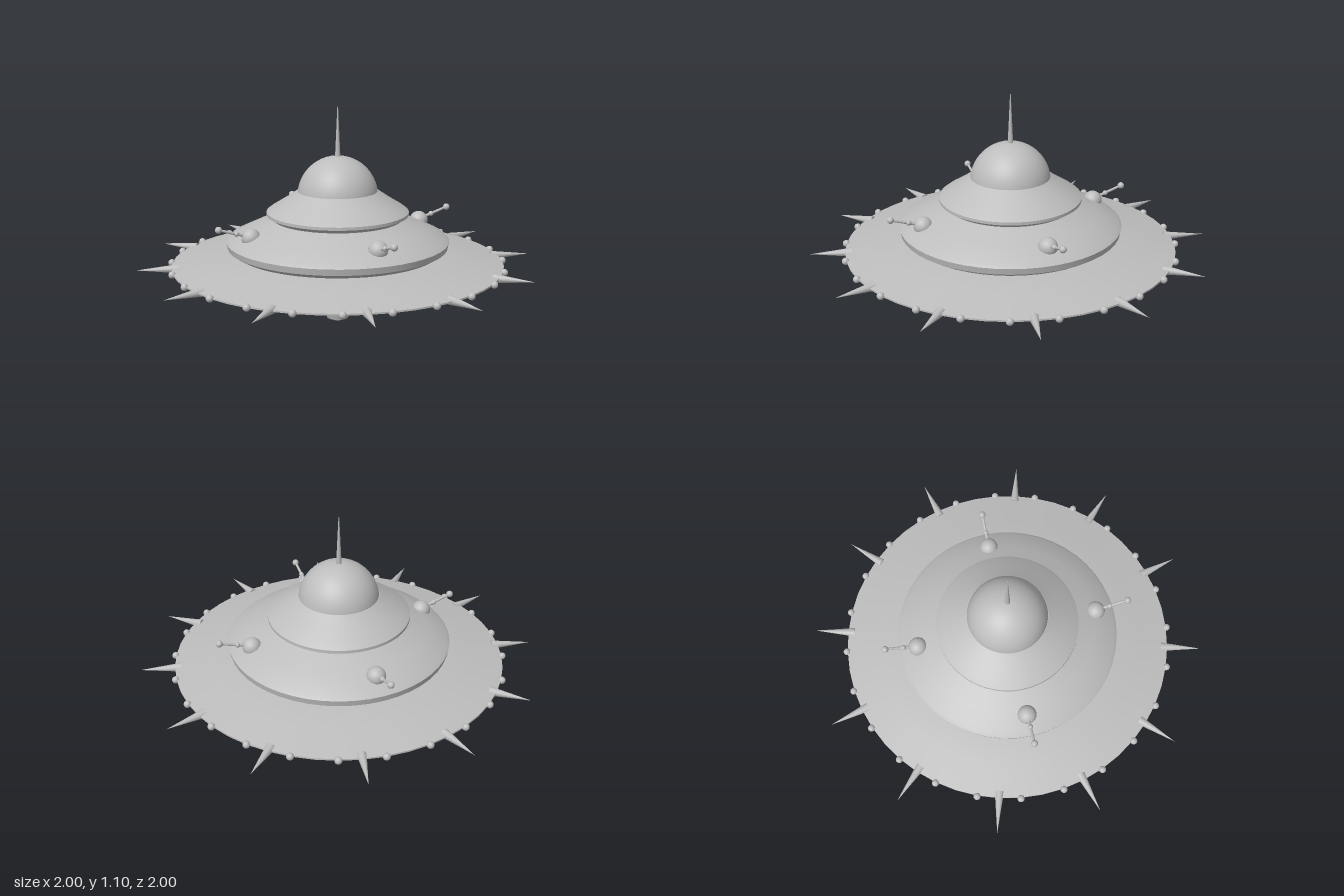
import * as THREE from 'three';
import { toCreasedNormals } from 'three/addons/utils/BufferGeometryUtils.js';

const hullGrey = new THREE.MeshStandardMaterial({ color: 0xbdbdbd });
hullGrey.name = 'hullGrey';

export function createModel() {
  const model = new THREE.Group();
  model.name = 'flyingSaucer';

  const add = (name, geometry, parent = model) => {
    const mesh = new THREE.Mesh(geometry, hullGrey);
    mesh.name = name;
    parent.add(mesh);
    return mesh;
  };

  // Profiles run from the bottom up as [radius, height]
  const lathe = (name, profile, sides = 48) => add(name, toCreasedNormals(
    new THREE.LatheGeometry(profile.map(([r, y]) => new THREE.Vector2(r, y)), sides), 0.35));

  // Round bar between two points
  const bar = (name, from, to, r0, r1, parent) => {
    const dir = to.clone().sub(from);
    const mesh = add(name, new THREE.CylinderGeometry(r1, r0, dir.length(), 12), parent);
    mesh.position.copy(from).addScaledVector(dir, 0.5);
    mesh.quaternion.setFromUnitVectors(new THREE.Vector3(0, 1, 0), dir.normalize());
    return mesh;
  };

  const ball = (name, position, radius, parent) => {
    const mesh = add(name, new THREE.SphereGeometry(radius, 20, 14), parent);
    mesh.position.copy(position);
    return mesh;
  };

  // Wide disc, two stepped tiers, dome and lower thruster
  lathe('disc', [[0, 0.2], [0.17, 0.201], [0.4, 0.234], [0.62, 0.272], [0.828, 0.312],
    [0.828, 0.32], [0.66, 0.354], [0.5, 0.386], [0, 0.386]]);
  lathe('lowerTier', [[0, 0.38], [0.51, 0.38], [0.55, 0.405], [0.556, 0.436],
    [0.54, 0.45], [0.44, 0.498], [0.33, 0.545], [0, 0.545]]);
  lathe('upperTier', [[0, 0.54], [0.32, 0.54], [0.33, 0.552], [0.354, 0.565], [0.354, 0.58],
    [0.33, 0.598], [0.265, 0.638], [0.2, 0.682], [0, 0.682]]);
  const domeProfile = [[0.2, 0.64]];
  for (let i = 0; i <= 14; i++) {
    const a = (i / 14) * Math.PI / 2;
    domeProfile.push([0.2 * Math.cos(a), 0.656 + 0.2 * Math.sin(a)]);
  }
  lathe('dome', domeProfile);
  lathe('thruster', [[0, 0], [0.055, 0.025], [0.064, 0.055], [0.083, 0.115], [0.105, 0.158],
    [0.138, 0.208], [0, 0.208]], 32);

  // Tall needle on the dome
  bar('antenna', new THREE.Vector3(0, 0.84, 0), new THREE.Vector3(0, 1.1, 0), 0.014, 0.002);

  // Spikes around the rim, with two beads between each pair
  const rim = new THREE.Group();
  rim.name = 'rim';
  model.add(rim);
  const polar = (r, y, a) => new THREE.Vector3(r * Math.cos(a), y, r * Math.sin(a));
  for (let i = 0; i < 12; i++) {
    const a = (i * Math.PI) / 6;
    bar('rimSpike', polar(0.795, 0.315, a), polar(1, 0.315, a), 0.023, 0, rim);
    for (const offset of [7.5, 22.5]) {
      ball('rimBead', polar(0.832, 0.316, a + THREE.MathUtils.degToRad(offset)), 0.018, rim);
    }
  }

  // Four turrets on the lower tier, each with a ball-tipped barrel
  for (let i = 0; i < 4; i++) {
    const a = Math.PI / 4 + (i * Math.PI) / 2;
    const turret = new THREE.Group();
    turret.name = 'turret';
    model.add(turret);
    const base = polar(0.458, 0.487, a);
    const root = polar(0.47, 0.496, a);
    const tip = polar(0.62, 0.542, a);
    ball('turretBall', base, 0.047, turret);
    bar('turretBarrel', root, tip, 0.008, 0.006, turret);
    ball('barrelCollar', root.clone().lerp(tip, 0.4), 0.013, turret);
    ball('barrelTip', tip, 0.017, turret);
  }

  return model;
}
